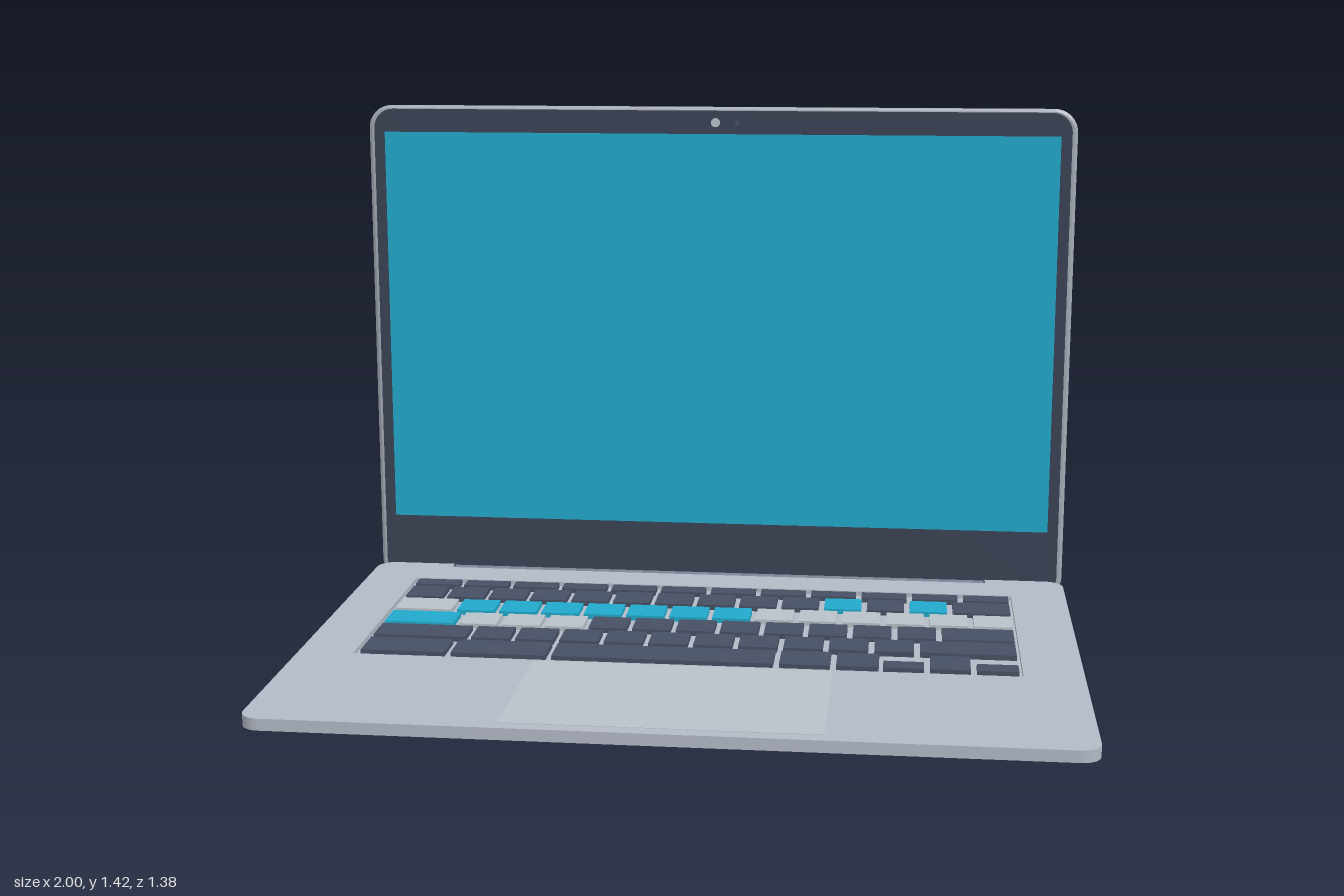
import * as THREE from 'three';
import { toCreasedNormals } from 'three/addons/utils/BufferGeometryUtils.js';

const mat = (color) => new THREE.MeshStandardMaterial({ color });
const M = {
  body: mat(0xb3bac6), lid: mat(0xa4abb4), under: mat(0x66696e), pad: mat(0xb9c2c9),
  dark: mat(0x3a4254), key: mat(0x475064), cyan: mat(0x20a9cb), hinge: mat(0x7d8598), port: mat(0x4a505c),
};
const TOP = 0.072;

function add(parent, name, geometry, material, x = 0, y = 0, z = 0) {
  const mesh = new THREE.Mesh(geometry, material);
  mesh.name = name;
  mesh.position.set(x, y, z);
  parent.add(mesh);
  return mesh;
}

// Box given by its limits
function block(parent, name, material, x0, x1, y0, y1, z0, z1) {
  return add(parent, name, new THREE.BoxGeometry(x1 - x0, y1 - y0, z1 - z0), material,
    (x0 + x1) / 2, (y0 + y1) / 2, (z0 + z1) / 2);
}

// Centred rounded rectangle, counter-clockwise
function roundedRect(w, h, r) {
  const s = new THREE.Shape(), x = w / 2 - r, y = h / 2 - r;
  s.absarc(x, -y, r, -Math.PI / 2, 0);
  s.absarc(x, y, r, 0, Math.PI / 2);
  s.absarc(-x, y, r, Math.PI / 2, Math.PI);
  s.absarc(-x, -y, r, Math.PI, Math.PI * 1.5);
  return s;
}

// Skin between closed rings of equal point count
function loft(rings) {
  const n = rings[0].length, index = [];
  for (let k = 0; k < rings.length - 1; k++) {
    for (let i = 0; i < n; i++) {
      const j = (i + 1) % n, a = k * n, b = a + n;
      index.push(a + i, b + i, b + j, a + i, b + j, a + j);
    }
  }
  const g = new THREE.BufferGeometry().setFromPoints(rings.flat());
  g.setIndex(index);
  return toCreasedNormals(g, 0.7);
}

function buildBase() {
  const base = new THREE.Group();
  base.name = 'base';
  // Deck outline (shape y is -z) with a notch at the back for the hinge
  const r = 0.05, front = -0.69, back = 0.64, s = new THREE.Shape();
  s.absarc(1 - r, front + r, r, -Math.PI / 2, 0);
  s.absarc(1 - r, back - r, r, 0, Math.PI / 2);
  s.lineTo(0.78, back);
  s.lineTo(0.78, 0.605);
  s.lineTo(-0.78, 0.605);
  s.lineTo(-0.78, back);
  s.absarc(r - 1, back - r, r, Math.PI / 2, Math.PI);
  s.absarc(r - 1, front + r, r, Math.PI, Math.PI * 1.5);
  const outline = s.getPoints(8);

  // Rim is thin at the front, thick at the back; the underside slopes in to a flat floor
  const ring = (f) => outline.map((p) => f(p.x, -p.y));
  const top = ring((x, z) => new THREE.Vector3(x, TOP, z));
  const low = ring((x, z) => new THREE.Vector3(x, 0.03 + 0.018 * z, z));
  const floor = ring((x, z) => {
    const ax = Math.abs(x);
    return new THREE.Vector3(
      ax > 0.78 ? Math.sign(x) * (0.78 + (ax - 0.78) * 0.15) : x, 0,
      z > 0.52 ? 0.52 + (z - 0.52) * 0.15 : z * 0.97);
  });
  add(base, 'rim', loft([top, low]), M.body);
  add(base, 'undersideSlope', loft([low, floor]), M.under);
  const floorShape = new THREE.Shape(floor.map((p) => new THREE.Vector2(p.x, p.z)));
  add(base, 'undersideFloor', new THREE.ShapeGeometry(floorShape).rotateX(Math.PI / 2), M.under);

  // Deck with the keyboard opening
  const well = [[-0.856, 0.2], [0.848, 0.2], [0.848, -0.485], [-0.856, -0.485]];
  const deck = new THREE.Shape(outline);
  deck.holes.push(new THREE.Path(well.map(([x, z]) => new THREE.Vector2(x, -z))));
  add(base, 'deck', new THREE.ShapeGeometry(deck).rotateX(-Math.PI / 2), M.body, 0, TOP, 0);
  const wellRing = (y) => well.map(([x, z]) => new THREE.Vector3(x, y, z)).reverse();
  add(base, 'keyboardWellWalls', loft([wellRing(TOP), wellRing(0.06)]), M.body);
  block(base, 'keyboardWellFloor', M.body, -0.856, 0.848, 0.055, 0.06, -0.485, 0.2);

  block(base, 'trackpad', M.pad, -0.385, 0.375, 0.065, TOP + 0.001, 0.212, 0.655);
  block(base, 'hingeBar', M.hinge, -0.777, 0.777, 0.022, 0.066, -0.655, -0.605);
  return base;
}

function buildKeyboard() {
  const keys = new THREE.Group();
  keys.name = 'keyboard';
  const L = -0.843, R = 0.839, GAP = 0.016;
  const mats = { d: M.key, c: M.cyan, l: M.pad };
  // Each row: z limits, first and last key widths, one colour letter per key
  const rows = [
    [-0.472, -0.42, 0.125, 0.125, 'dddddddddddd'],
    [-0.403, -0.305, 0.102, 0.156, 'ddddddddddcdcd'],
    [-0.287, -0.188, 0.156, 0.102, 'lcccccccllllll'],
    [-0.168, -0.07, 0.188, 0.188, 'clllddddddddd'],
    [-0.052, 0.045, 0.246, 0.246, 'dddddddddddd'],
  ];
  const key = (m, x0, x1, z0, z1) => block(keys, 'key', m, x0, x1, 0.059, TOP + 0.002, z0, z1);
  for (const [z0, z1, first, last, colours] of rows) {
    const n = colours.length;
    const mid = (R - L - first - last - GAP * (n - 1)) / (n - 2);
    let x = L;
    for (let i = 0; i < n; i++) {
      const w = i === 0 ? first : i === n - 1 ? last : mid;
      key(mats[colours[i]], x, x + w, z0, z1);
      x += w + GAP;
    }
  }
  // Bottom row with space bar and half-height arrow keys
  const bottom = [
    [-0.843, -0.624, 0.065], [-0.607, -0.361, 0.065], [-0.345, 0.222, 0.067], [0.238, 0.366, 0.065],
    [0.382, 0.489, 0.067], [0.5, 0.602, 0.12], [0.618, 0.719, 0.067], [0.735, 0.839, 0.12],
  ];
  for (const [x0, x1, z0] of bottom) key(M.key, x0, x1, z0, 0.173);
  return keys;
}

function buildPorts() {
  const ports = new THREE.Group();
  ports.name = 'sidePorts';
  const face = (name, w, h, r, m, z, out) =>
    add(ports, name, new THREE.ShapeGeometry(roundedRect(w, h, r)).rotateY(Math.PI / 2), m, 1 + out, 0.047, z);
  face('smallPortRim', 0.06, 0.022, 0.0105, M.port, -0.405, 0.0006);
  face('smallPortTongue', 0.04, 0.006, 0.0028, M.hinge, -0.405, 0.0012);
  face('indicator', 0.01, 0.01, 0.0049, M.port, -0.458, 0.0006);
  face('largePortRim', 0.082, 0.034, 0.002, M.port, -0.526, 0.0006);
  face('largePortOpening', 0.072, 0.025, 0.002, M.hinge, -0.526, 0.0012);
  face('largePortTongue', 0.056, 0.009, 0.001, M.dark, -0.526, 0.0018);
  return ports;
}

function buildLid() {
  const lid = new THREE.Group();
  lid.name = 'lid';
  const W = 2, H = 1.405, CY = 0.7175;
  // Shell rolls inward towards its back: [inset, z]
  const steps = [[0.008, -0.653], [0, -0.658], [0, -0.67], [0.006, -0.678], [0.02, -0.684], [0.045, -0.688]];
  const shape = (inset) => roundedRect(W - 2 * inset, H - 2 * inset, 0.065 - inset);
  add(lid, 'lidShell', loft(steps.map(([inset, z]) =>
    shape(inset).getPoints(8).map((p) => new THREE.Vector3(p.x, p.y, z)))), M.lid, 0, CY, 0);
  add(lid, 'lidBack', new THREE.ShapeGeometry(shape(0.045), 8).rotateY(Math.PI), M.lid, 0, CY, -0.688);
  add(lid, 'lidFront', new THREE.ShapeGeometry(shape(0.008), 8), M.lid, 0, CY, -0.653);
  add(lid, 'bezel', new THREE.ShapeGeometry(roundedRect(1.97, 1.385, 0.055), 8), M.dark, 0, CY, -0.6515);
  add(lid, 'screen', new THREE.PlaneGeometry(1.91, 1.13), M.cyan, 0, 0.78, -0.65);
  add(lid, 'camera', new THREE.CircleGeometry(0.013, 20), M.pad, -0.005, 1.377, -0.65);
  add(lid, 'cameraLight', new THREE.CircleGeometry(0.006, 12), M.key, 0.055, 1.377, -0.65);
  return lid;
}

export function createModel() {
  const model = new THREE.Group();
  model.name = 'laptop';
  model.add(buildBase(), buildKeyboard(), buildPorts(), buildLid());
  return model;
}
